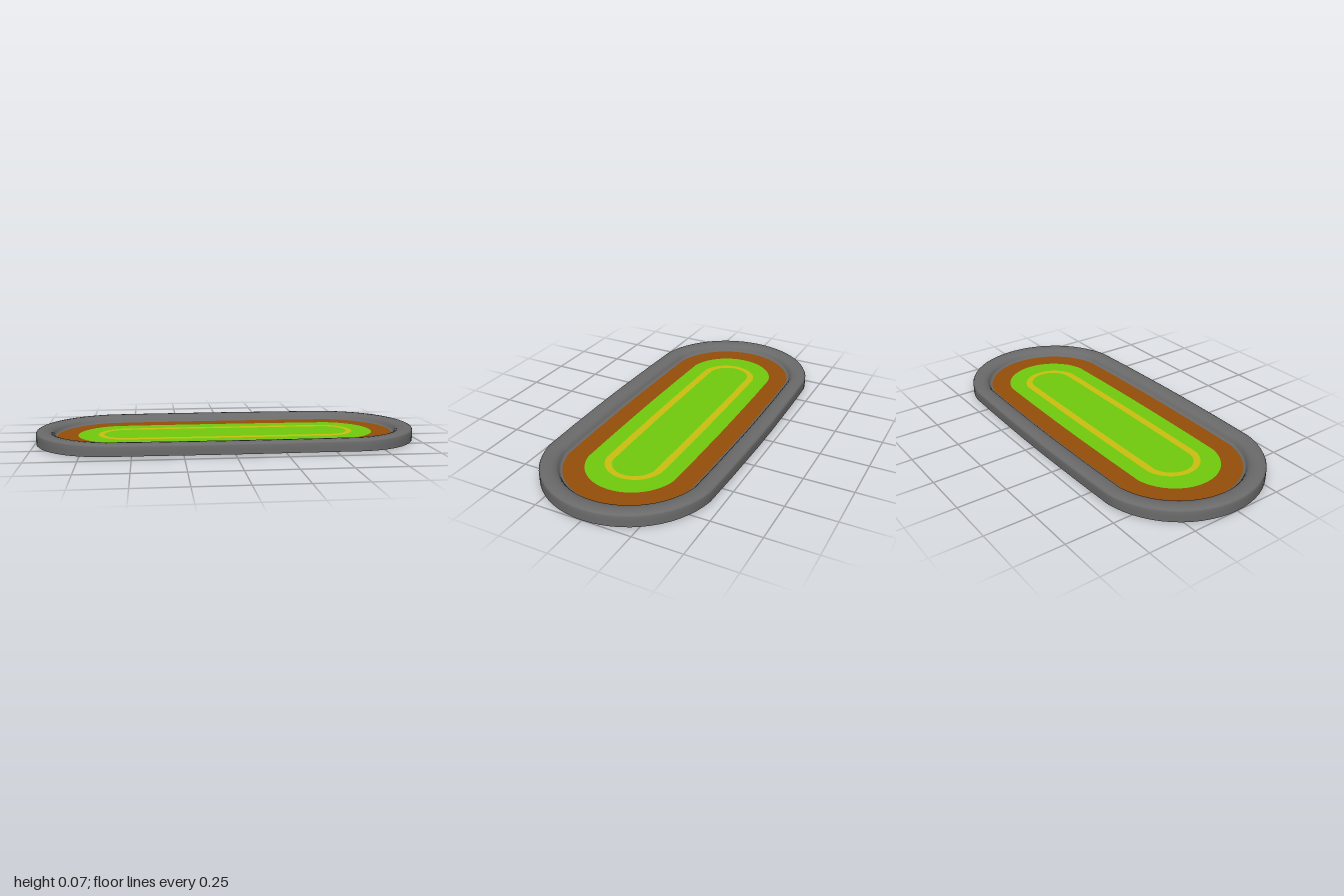
import * as THREE from 'three';

const FLOOR_Y = 0.031;

// Stadium outline: two 160 degree end arcs joined by slightly bowed long sides
function outline(r, centre = 0.55) {
  const pts = [];
  const arcSteps = 28, cut = THREE.MathUtils.degToRad(80);
  const endX = centre + r * Math.cos(cut), endZ = r * Math.sin(cut);
  for (const s of [1, -1]) {
    for (let i = 0; i <= arcSteps; i++) {
      const t = -cut + (2 * cut * i) / arcSteps;
      pts.push(new THREE.Vector2(s * (centre + r * Math.cos(t)), s * r * Math.sin(t)));
    }
    for (const k of [0.65, 0.15, -0.15, -0.65]) {
      const bow = 0.03 * r * (1 - k * k);
      pts.push(new THREE.Vector2(s * k * endX, s * (endZ + bow)));
    }
  }
  return pts;
}

// Rim: a cross-section of [inset, height] swept around the outline
function rimGeometry() {
  const profile = [
    [0, 0], [0, 0.03], [0, 0.052], [0.004, 0.060], [0.014, 0.065], [0.035, 0.067],
    [0.06, 0.065], [0.08, 0.058], [0.09, 0.047], [0.094, 0.038], [0.1, 0.032], [0.108, FLOOR_Y],
  ];
  const pos = [], index = [];
  const n = outline(0.45).length;
  profile.forEach(([inset, y], row) => {
    outline(0.45 - inset).forEach((p, i) => {
      // the lower edge lifts a little along the long sides
      const lift = row === 0 ? 0.008 * (1 - THREE.MathUtils.smoothstep(Math.abs(p.x), 0.5, 0.95)) : 0;
      pos.push(p.x, y + lift, p.y);
      if (row < profile.length - 1) {
        const a = row * n + i, b = row * n + ((i + 1) % n);
        index.push(a, a + n, b, b, a + n, b + n);
      }
    });
  });
  const geo = new THREE.BufferGeometry();
  geo.setAttribute('position', new THREE.Float32BufferAttribute(pos, 3));
  geo.setIndex(index);
  geo.computeVertexNormals();
  return geo;
}

// Flat floor zone, optionally with a hole for the next zone inwards
function zoneGeometry(outer, inner) {
  const shape = new THREE.Shape(outer);
  if (inner) shape.holes.push(new THREE.Path(inner));
  return new THREE.ShapeGeometry(shape).rotateX(-Math.PI / 2).translate(0, FLOOR_Y, 0);
}

export function createModel() {
  const model = new THREE.Group();
  model.name = 'ovalArena';

  const add = (name, geo, color) => {
    const mat = new THREE.MeshStandardMaterial({ color, side: THREE.DoubleSide });
    const mesh = new THREE.Mesh(geo, mat);
    mesh.name = name;
    model.add(mesh);
  };

  const trackEdge = outline(0.342);
  const grassEdge = outline(0.24, 0.545);
  const lineOuter = outline(0.155, 0.525);
  const lineInner = outline(0.115, 0.535);

  add('rim', rimGeometry(), 0x6b6b6b);
  add('dirtTrack', zoneGeometry(trackEdge, grassEdge), 0x964f0a);
  add('outerGrass', zoneGeometry(grassEdge, lineOuter), 0x72cc0c);
  add('yellowLine', zoneGeometry(lineOuter, lineInner), 0xccc010);
  add('innerGrass', zoneGeometry(lineInner), 0x72cc0c);
  return model;
}
